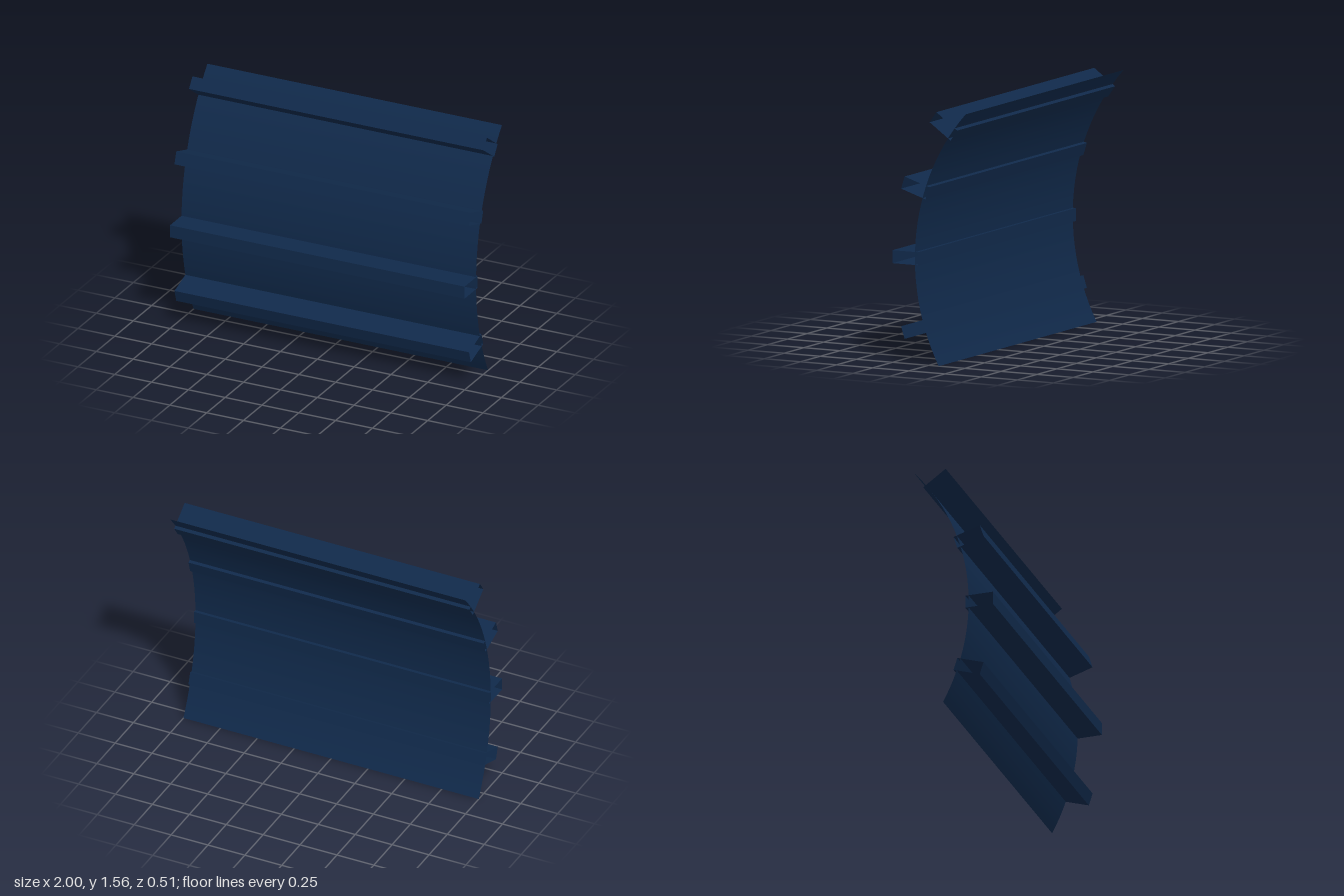
import * as THREE from 'three';

const deg = THREE.MathUtils.degToRad;
const WIDTH = 2, SKIN_R = 1.36, AXIS_Y = 0.648, AXIS_Z = -1.265;
const TOP = deg(42.1), BOTTOM = deg(-28.5);

const darkBlue = new THREE.MeshStandardMaterial({ color: 0x10294a, side: THREE.DoubleSide });
darkBlue.name = 'darkBlue';

// Open-ended rectangular tube running along x
function tubeGeometry(height, depth) {
  const g = new THREE.BoxGeometry(WIDTH, height, depth);
  g.setIndex(Array.from(g.index.array).slice(12)); // drop both end caps
  g.clearGroups();
  return g;
}

export function createModel() {
  const group = new THREE.Group();
  group.name = 'stiffenedPanel';

  // Curved skin: a sector of an open cylinder lying along x
  const skinGeo = new THREE.CylinderGeometry(SKIN_R, SKIN_R, WIDTH, 28, 1, true, -TOP, TOP - BOTTOM);
  skinGeo.rotateZ(-Math.PI / 2);
  const skin = new THREE.Mesh(skinGeo, darkBlue);
  skin.name = 'curvedSkin';
  skin.position.set(0, AXIS_Y, AXIS_Z);
  group.add(skin);

  // Four stringers, set radially and passing slightly through the skin
  const inner = 1.338, outer = 1.515, mid = (inner + outer) / 2;
  const tube = tubeGeometry(0.08, outer - inner);
  for (let i = -1; i <= 2; i++) {
    const a = deg(17.7) * i;
    const stringer = new THREE.Mesh(tube, darkBlue);
    stringer.name = 'stringer' + (i + 2);
    stringer.position.set(0, AXIS_Y + mid * Math.sin(a), AXIS_Z + mid * Math.cos(a));
    stringer.rotation.x = -a;
    group.add(stringer);
  }
  return group;
}
